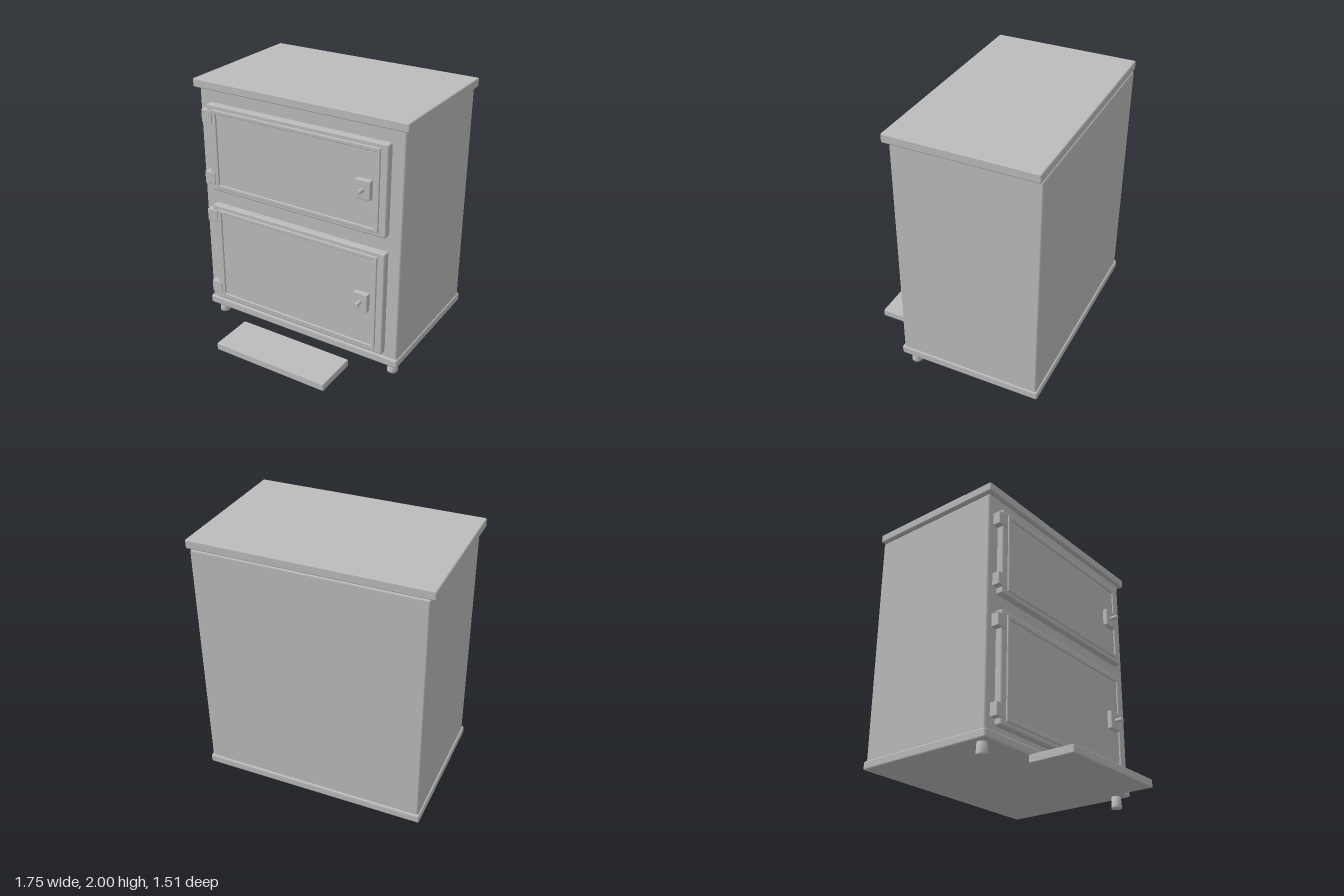
import * as THREE from 'three';
import { RoundedBoxGeometry } from 'three/addons/geometries/RoundedBoxGeometry.js';

export function createModel() {
  const model = new THREE.Group();
  model.name = 'cabinet';
  const grey = new THREE.MeshStandardMaterial({ color: 0xbcbcbc });
  grey.name = 'grey';

  const add = (name, geometry, parent = model) => {
    const mesh = new THREE.Mesh(geometry, grey);
    mesh.name = name;
    parent.add(mesh);
    return mesh;
  };

  // Softly bevelled block given by its limits on each axis
  const block = (name, [x0, x1], [y0, y1], [z0, z1], bevel, parent) => {
    const mesh = add(name, new RoundedBoxGeometry(x1 - x0, y1 - y0, z1 - z0, 1, bevel), parent);
    mesh.position.set((x0 + x1) / 2, (y0 + y1) / 2, (z0 + z1) / 2);
    return mesh;
  };

  // Carcass, plinth and top
  block('body', [-0.843, 0.841], [0.1, 1.935], [-0.743, 0.336], 0.014);
  block('plinth', [-0.857, 0.852], [0.09, 0.157], [-0.757, 0.352], 0.014);
  block('topSlab', [-0.876, 0.874], [1.933, 2], [-0.739, 0.373], 0.01);

  // Two short front feet
  for (const x of [-0.785, 0.78]) {
    const profile = [[0, 0], [0.04, 0], [0.04, 0.012], [0.035, 0.095], [0, 0.095]];
    const foot = add('foot', new THREE.LatheGeometry(
      profile.map(([r, y]) => new THREE.Vector2(r, y)), 24));
    foot.position.set(x, 0, 0.268);
  }

  // Rectangle outline used for the door moulding
  const rect = (path, x0, x1, y0, y1) => {
    path.moveTo(x0, y0);
    path.lineTo(x1, y0);
    path.lineTo(x1, y1);
    path.lineTo(x0, y1);
    path.closePath();
    return path;
  };

  // Door with raised moulding, two hinges, lock plate and knob
  const door = (name, y0, y1, knobY, hinges) => {
    const group = new THREE.Group();
    group.name = name;
    model.add(group);
    block('doorPanel', [-0.749, 0.743], [y0, y1], [0.32, 0.388], 0.012, group);

    const b = 0.004;
    const ring = rect(new THREE.Shape(), -0.696 + b, 0.688 - b, y0 + 0.032 + b, y1 - 0.032 - b);
    ring.holes.push(rect(new THREE.Path(), -0.664 - b, 0.658 + b, y0 + 0.06 - b, y1 - 0.06 + b));
    const moulding = add('doorMoulding', new THREE.ExtrudeGeometry(ring, {
      depth: 0.012, bevelEnabled: true, bevelSegments: 1, bevelSize: b, bevelThickness: b,
    }), group);
    moulding.position.z = 0.384;

    for (const y of hinges) {
      block('hinge', [-0.796, -0.705], [y - 0.049, y + 0.049], [0.325, 0.395], 0.004, group);
    }
    block('lockPlate', [0.516, 0.634], [knobY - 0.072, knobY + 0.072], [0.38, 0.424], 0.008, group);
    const knob = add('knob', new THREE.CylinderGeometry(0.016, 0.016, 0.074, 20), group);
    knob.rotation.x = Math.PI / 2;
    knob.position.set(0.575, knobY, 0.447);
  };
  door('upperDoor', 1.15, 1.833, 1.49, [1.737, 1.246]);
  door('lowerDoor', 0.196, 1.027, 0.612, [0.932, 0.291]);

  // Loose hearth board in front
  block('floorBoard', [-0.481, 0.479], [0.003, 0.063], [0.402, 0.758], 0.008);

  return model;
}
